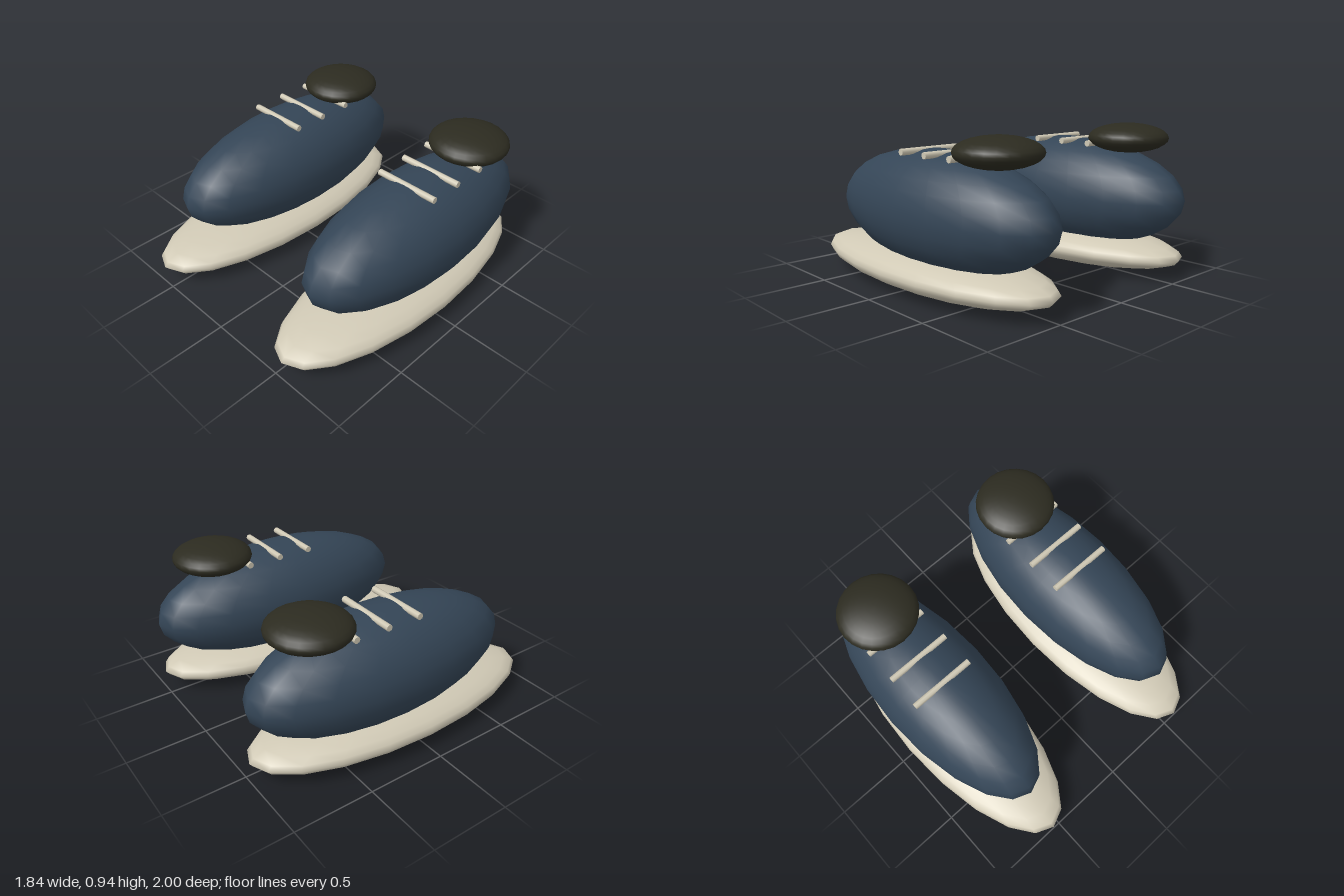
import * as THREE from 'three';

function material(name, color) {
  const m = new THREE.MeshStandardMaterial({ color });
  m.name = name;
  return m;
}

export function createModel() {
  const navy = material('navy', 0x344556);
  const cream = material('cream', 0xd0c9b5);
  const darkOlive = material('darkOlive', 0x2c2b20);

  const ball = new THREE.SphereGeometry(1, 20, 14);
  const padBall = new THREE.SphereGeometry(1, 24, 14);
  const laceRod = new THREE.CylinderGeometry(0.02, 0.02, 0.41, 8).rotateZ(Math.PI / 2);

  function add(parent, name, geometry, mat, position, scale = [1, 1, 1]) {
    const mesh = new THREE.Mesh(geometry, mat);
    mesh.name = name;
    mesh.position.set(...position);
    mesh.scale.set(...scale);
    parent.add(mesh);
  }

  function createShoe(name, x) {
    const shoe = new THREE.Group();
    shoe.name = name;
    shoe.position.x = x;
    add(shoe, 'sole', ball, cream, [0, 0.13, 0], [0.367, 0.13, 1]);
    add(shoe, 'upper', ball, navy, [0, 0.48, -0.112], [0.35, 0.35, 0.888]);
    // Rounded pad over the ankle opening
    add(shoe, 'anklePad', padBall, darkOlive, [0, 0.853, -0.595], [0.25, 0.091, 0.25]);
    // Three straight laces, from front to back
    for (let i = 0; i < 3; i++) {
      add(shoe, 'lace', laceRod, cream, [0, 0.816, -0.003 - 0.215 * i]);
    }
    return shoe;
  }

  const model = new THREE.Group();
  model.name = 'pairOfShoes';
  model.add(createShoe('leftShoe', 0.555), createShoe('rightShoe', -0.555));
  return model;
}
